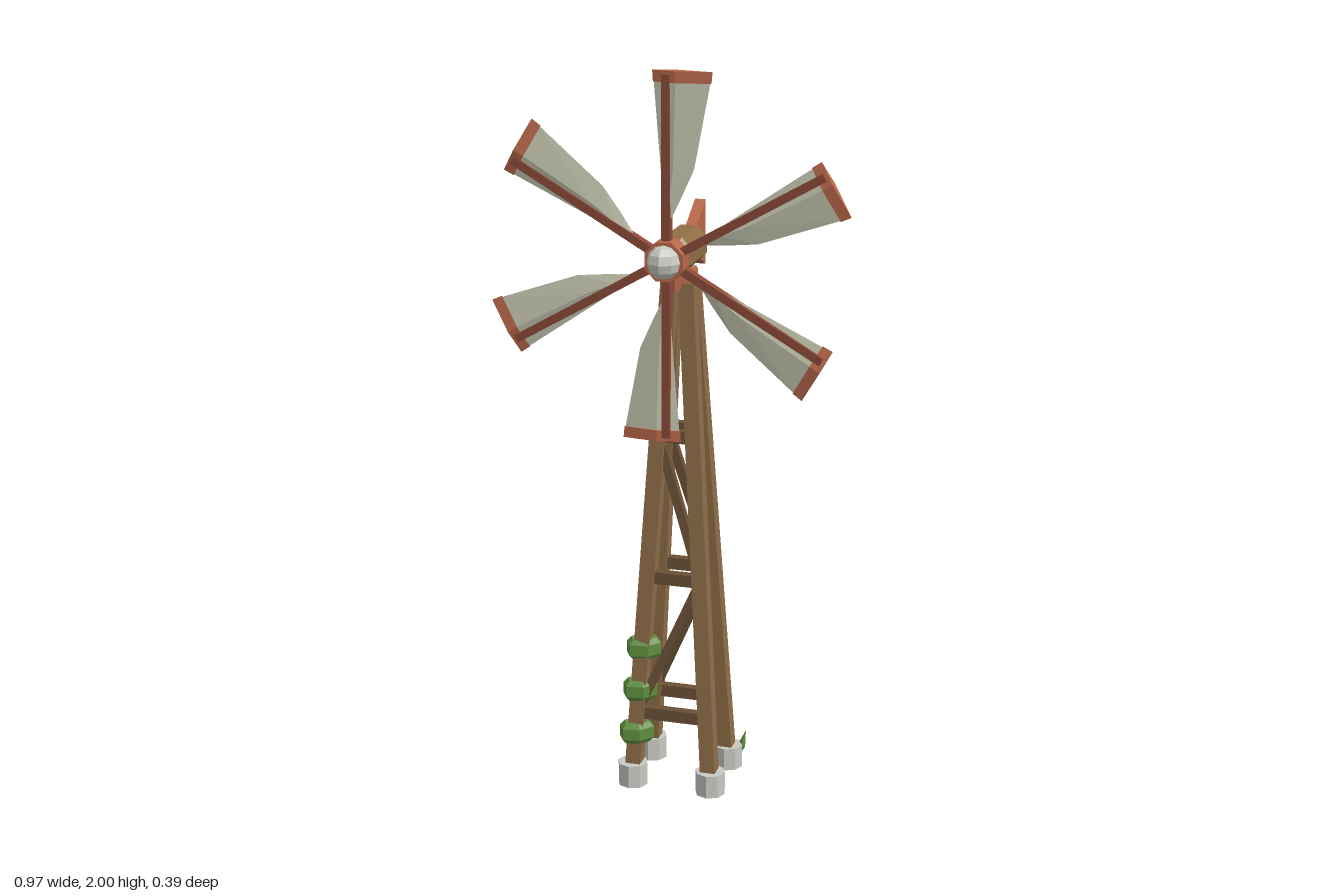
import * as THREE from 'three';

const mat = (color) => new THREE.MeshStandardMaterial({ color, flatShading: true });
const V = (x, y, z) => new THREE.Vector3(x, y, z);

export function createModel() {
  const model = new THREE.Group();
  const wood = mat(0x8f6d47), darkWood = mat(0x6b5137), rust = mat(0xbb694b), darkRust = mat(0x8a4a38);
  const stone = mat(0xc9c9c3), sailCloth = mat(0xc6c7b0), leaf = mat(0x5f8f40);

  const add = (name, geometry, material, parent = model) => {
    const mesh = new THREE.Mesh(geometry, material);
    mesh.name = name;
    parent.add(mesh);
    return mesh;
  };

  // Square beam between two points
  const beam = (name, a, b, width, depth, material) => {
    const mesh = add(name, new THREE.BoxGeometry(width, a.distanceTo(b), depth), material);
    mesh.position.copy(a).lerp(b, 0.5);
    mesh.quaternion.setFromUnitVectors(V(0, 1, 0), b.clone().sub(a).normalize());
    return mesh;
  };

  // Loft of diamond sections [y, left, right, half thickness], closed at both ends
  const diamondLoft = (sections) => {
    const rings = sections.map(([y, l, r, t]) => {
      const mid = l + (r - l) * 0.4;
      return [V(l, y, 0), V(mid, y, t), V(r, y, 0), V(mid, y, -t)];
    });
    const points = [];
    for (let s = 0; s < rings.length - 1; s++) {
      for (let i = 0; i < 4; i++) {
        const j = (i + 1) % 4, lo = rings[s], hi = rings[s + 1];
        points.push(lo[i], lo[j], hi[j], lo[i], hi[j], hi[i]);
      }
    }
    const lo = rings[0], hi = rings[rings.length - 1];
    points.push(hi[0], hi[1], hi[2], hi[0], hi[2], hi[3], lo[0], lo[2], lo[1], lo[0], lo[3], lo[2]);
    const geometry = new THREE.BufferGeometry().setFromPoints(points);
    geometry.computeVertexNormals();
    return geometry;
  };

  // Tower legs lean inwards; the tower sits slightly off the centre
  const offset = 0.004, topY = 1.43;
  const legPoint = (sx, sz, y) => {
    const k = y / topY;
    return V(offset + sx * (0.112 - 0.088 * k), y, offset + sz * (0.092 - 0.074 * k));
  };
  for (const sx of [-1, 1]) {
    for (const sz of [-1, 1]) {
      beam('leg', legPoint(sx, sz, 0.03), legPoint(sx, sz, topY), 0.042, 0.042, wood);
      const foot = add('foot', new THREE.CylinderGeometry(0.042, 0.042, 0.065, 8), stone);
      foot.position.copy(legPoint(sx, sz, 0)).setY(0.0325);
    }
  }

  // Cross bars and zigzag braces on the front and back
  const levels = [0.215, 0.61, 1.01];
  for (const sz of [-1, 1]) {
    for (const y of levels) {
      beam('crossBar', legPoint(-1, sz, y), legPoint(1, sz, y), 0.034, 0.026, darkWood);
    }
    beam('diagonalBrace', legPoint(-1, sz, levels[0]), legPoint(1, sz, levels[1]), 0.024, 0.022, darkWood);
    beam('diagonalBrace', legPoint(1, sz, levels[1]), legPoint(-1, sz, levels[2]), 0.024, 0.022, darkWood);
  }

  // Collar under the head
  add('collar', new THREE.CylinderGeometry(0.05, 0.05, 0.055, 8), rust).position.set(0, 1.435, 0);

  // Chamfered head
  const h = 0.034, c = 0.017;
  const headShape = new THREE.Shape([
    [h, -c], [h, c], [c, h], [-c, h], [-h, c], [-h, -c], [-c, -h], [c, -h],
  ].map(([x, y]) => new THREE.Vector2(x, y)));
  const headGeometry = new THREE.ExtrudeGeometry(headShape, {
    depth: 0.15, bevelEnabled: true, bevelThickness: 0.018, bevelSize: 0.015, bevelSegments: 1,
  });
  add('head', headGeometry, wood).position.set(0, 1.51, -0.087);

  // Tail vane with its mounting plate
  const tailShape = new THREE.Shape([
    [0.1, 1.475], [0.195, 1.43], [0.195, 1.608], [0.1, 1.55],
  ].map(([x, y]) => new THREE.Vector2(x, y)));
  const tailGeometry = new THREE.ExtrudeGeometry(tailShape, { depth: 0.03, bevelEnabled: false });
  add('tailVane', tailGeometry.rotateY(Math.PI / 2).translate(-0.015, 0, 0), rust);
  add('tailPlate', new THREE.BoxGeometry(0.075, 0.07, 0.012), rust).position.set(0, 1.51, -0.104);

  // Rotor
  const rotor = new THREE.Group();
  rotor.name = 'rotor';
  rotor.position.set(0, 1.51, 0.119);
  model.add(rotor);
  const disc = (r, d) => new THREE.CylinderGeometry(r, r, d, 8).rotateX(Math.PI / 2).rotateZ(Math.PI / 8);
  add('axle', disc(0.038, 0.06), darkRust, rotor).position.z = -0.04;
  add('hub', disc(0.056, 0.058), rust, rotor);
  const cap = add('hubCap', new THREE.SphereGeometry(0.045, 8, 6), stone, rotor);
  cap.position.z = 0.031;

  const sail = diamondLoft([
    [0.11, -0.005, 0.012, 0.004], [0.16, -0.01, 0.037, 0.007],
    [0.24, -0.016, 0.073, 0.009], [0.465, -0.034, 0.116, 0.011],
  ]);
  const tip = diamondLoft([[0.46, -0.036, 0.118, 0.014], [0.49, -0.038, 0.121, 0.014]]);
  const spar = new THREE.BoxGeometry(0.022, 0.45, 0.026).translate(0, 0.255, 0);
  for (let i = 0; i < 6; i++) {
    const blade = new THREE.Group();
    blade.name = 'blade';
    blade.rotation.z = -i * Math.PI / 3;
    rotor.add(blade);
    add('sail', sail, sailCloth, blade);
    add('sailTip', tip, rust, blade);
    add('spar', spar, darkRust, blade);
  }

  // Vine clumps around the front leg
  const clump = new THREE.LatheGeometry(
    [[0, -0.03], [0.038, -0.03], [0.051, -0.016], [0.051, 0.016], [0.038, 0.03], [0, 0.03]]
      .map(([r, y]) => new THREE.Vector2(r, y)), 6);
  [0.155, 0.28, 0.4].forEach((y, i) => {
    const mesh = add('vineClump', clump, leaf);
    mesh.position.copy(legPoint(-1, 1, y)).add(V(0, 0, -0.004 * i));
    mesh.rotation.y = Math.PI / 6;
    mesh.scale.z = 0.7;
  });

  // Leaf tuft beside the back foot
  const tuft = add('leafTuft', new THREE.LatheGeometry(
    [[0, 0], [0.018, 0.035], [0, 0.085]].map(([r, y]) => new THREE.Vector2(r, y)), 4), leaf);
  tuft.position.set(0.142, 0.02, -0.11);
  tuft.rotation.z = -0.25;
  tuft.scale.x = 0.6;

  return model;
}
